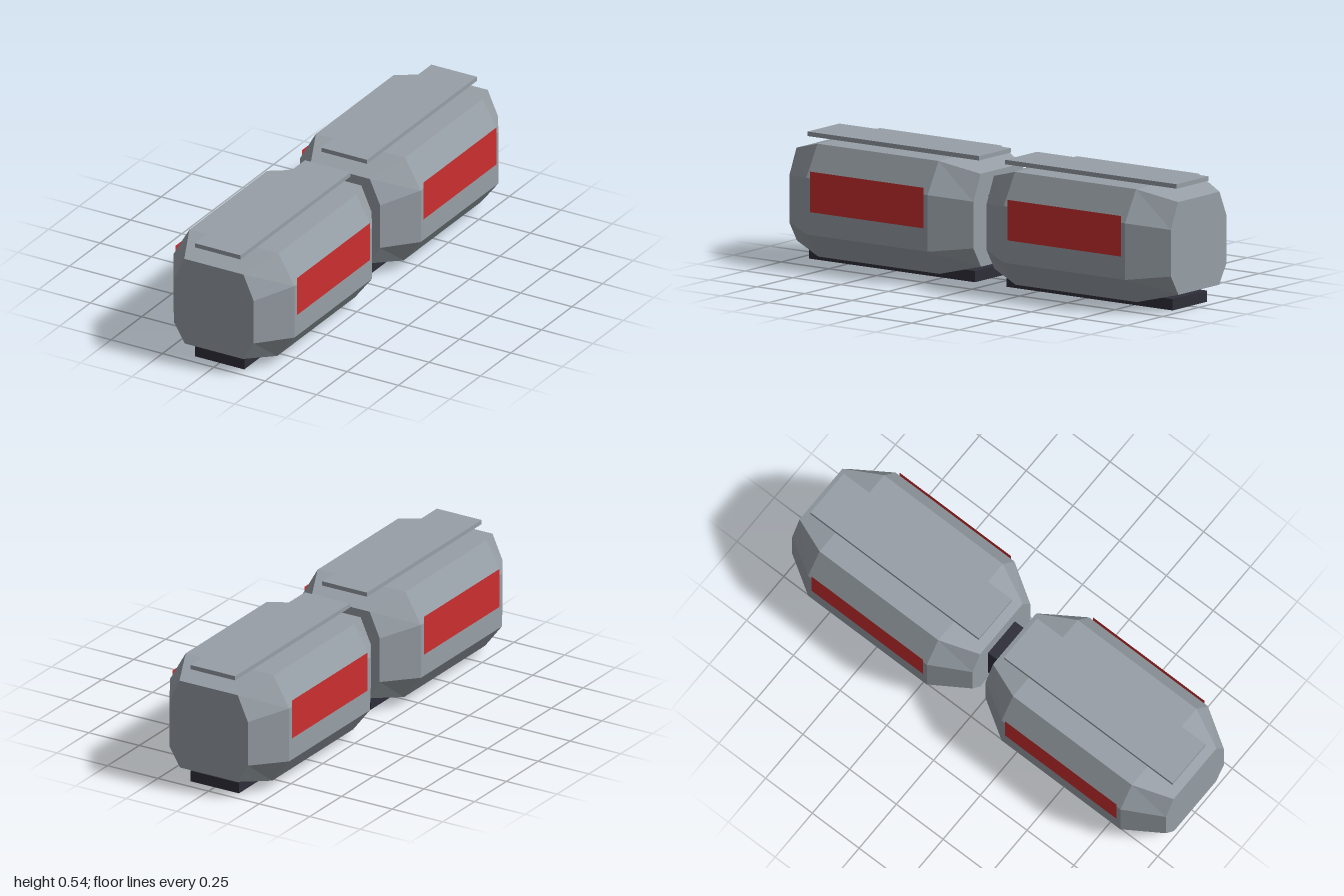
import * as THREE from 'three';

const hull = new THREE.MeshStandardMaterial({ color: 0x979fa6 });
hull.name = 'hullGrey';
const dark = new THREE.MeshStandardMaterial({ color: 0x2f2f3a });
dark.name = 'darkMetal';
const red = new THREE.MeshStandardMaterial({ color: 0xcc3030, side: THREE.DoubleSide });
red.name = 'panelRed';

// Octagonal cross-section, counter-clockwise seen from +z
function ring(z, side, sideLow, sideHigh, bottom, bottomY, top, topY) {
  const half = [[bottom, bottomY], [side, sideLow], [side, sideHigh], [top, topY]];
  const mirrored = half.map(([x, y]) => [-x, y]).reverse();
  return [...half, ...mirrored].map(([x, y]) => [x, y, z]);
}

// Faceted body lofted through four cross-sections, with flat end caps
function bodyGeometry() {
  const small = z => ring(z, 0.194, 0.161, 0.36, 0.141, 0.075, 0.144, 0.471);
  const large = z => ring(z, 0.294, 0.143, 0.384, 0.211, 0.036, 0.217, 0.518);
  const rings = [small(-0.4825), large(-0.3175), large(0.3175), small(0.4825)];
  const pos = [];
  const tri = (a, b, c) => pos.push(...a, ...b, ...c);
  for (let r = 0; r < 3; r++) {
    for (let i = 0; i < 8; i++) {
      const j = (i + 1) % 8;
      const [a, b] = [rings[r], rings[r + 1]];
      tri(a[i], a[j], b[j]);
      tri(a[i], b[j], b[i]);
    }
  }
  for (let i = 1; i < 7; i++) {
    tri(rings[3][0], rings[3][i], rings[3][i + 1]);
    tri(rings[0][0], rings[0][i + 1], rings[0][i]);
  }
  const geo = new THREE.BufferGeometry();
  geo.setAttribute('position', new THREE.Float32BufferAttribute(pos, 3));
  geo.computeVertexNormals();
  return geo;
}

function add(parent, name, geo, mat, x, y, z) {
  const mesh = new THREE.Mesh(geo, mat);
  mesh.name = name;
  mesh.position.set(x, y, z);
  parent.add(mesh);
  return mesh;
}

// One car: body, roof plate, underside skid and two side panels
function createCar(name) {
  const car = new THREE.Group();
  car.name = name;
  add(car, 'body', bodyGeometry(), hull, 0, 0, 0);
  add(car, 'roofPlate', new THREE.BoxGeometry(0.222, 0.019, 0.9), hull, 0, 0.5285, 0);
  add(car, 'skid', new THREE.BoxGeometry(0.24, 0.048, 0.87), dark, 0, 0.024, 0);
  for (const s of [1, -1]) {
    const panel = add(car, s > 0 ? 'leftPanel' : 'rightPanel',
      new THREE.PlaneGeometry(0.595, 0.173), red, s * 0.2955, 0.327, 0);
    panel.rotation.y = s * Math.PI / 2;
  }
  return car;
}

export function createModel() {
  const model = new THREE.Group();
  model.name = 'twoCarTrain';
  const front = createCar('frontCar');
  front.position.z = 0.5175;
  const rear = createCar('rearCar');
  rear.position.z = -0.5175;
  model.add(front, rear);
  // Link between the two cars
  add(model, 'coupling', new THREE.BoxGeometry(0.18, 0.238, 0.09), dark, 0, 0.254, 0);
  return model;
}
